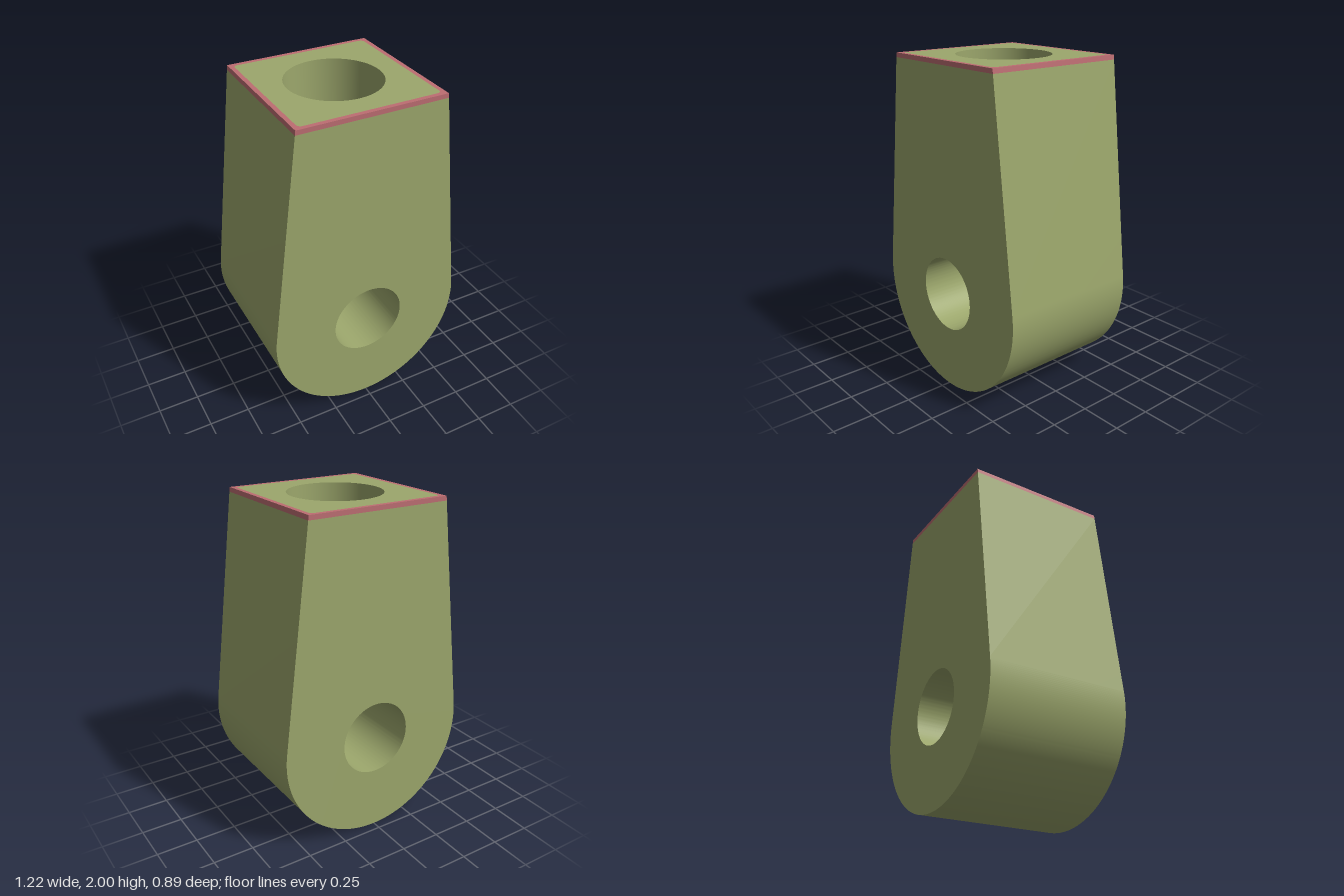
import * as THREE from 'three';
import { toCreasedNormals } from 'three/addons/utils/BufferGeometryUtils.js';

const R = 0.61;          // rounded foot radius, also the height of its centre
const PIN = 0.225;       // cross hole radius
const TOP = 2, HALF = 0.445, DEPTH = 0.89;
const EDGE = 0.027;      // width of the coloured edging
const BORE = 0.28;

// Angle at which each flank leaves the rounded foot as a tangent
const tangent = Math.atan2(TOP - R, HALF) - Math.acos(R / Math.hypot(HALF, TOP - R));
const foot = [R * Math.cos(tangent), R + R * Math.sin(tangent)];
const halfAt = y => HALF + (foot[0] - HALF) * (TOP - y) / (TOP - foot[1]);

// Extrude front to back, leaving out the horizontal end faces at the given heights
function extrudeOpen(shape, openHeights) {
  const solid = new THREE.ExtrudeGeometry(shape, { depth: DEPTH, bevelEnabled: false, curveSegments: 96 });
  solid.translate(0, 0, -DEPTH / 2);
  const p = solid.attributes.position, kept = [];
  for (let i = 0; i < p.count; i += 3) {
    const isOpen = openHeights.some(h => [0, 1, 2].every(k => Math.abs(p.getY(i + k) - h) < 1e-4));
    if (!isOpen) for (let k = 0; k < 3; k++) kept.push(p.getX(i + k), p.getY(i + k), p.getZ(i + k));
  }
  const geometry = new THREE.BufferGeometry();
  geometry.setAttribute('position', new THREE.Float32BufferAttribute(kept, 3));
  return toCreasedNormals(geometry, Math.PI / 6);
}

// Rounded square outline for the top panel
function roundedSquare(path, h, r) {
  path.moveTo(h, -h + r);
  path.absarc(h - r, h - r, r, 0, Math.PI / 2);
  path.absarc(-h + r, h - r, r, Math.PI / 2, Math.PI);
  path.absarc(-h + r, -h + r, r, Math.PI, Math.PI * 1.5);
  path.absarc(h - r, -h + r, r, Math.PI * 1.5, Math.PI * 2);
  return path;
}

const flatTop = shape => new THREE.ShapeGeometry(shape, 48).rotateX(-Math.PI / 2).translate(0, TOP, 0);

export function createModel() {
  const group = new THREE.Group();
  const olive = new THREE.MeshStandardMaterial({ color: 0x9ca76c });
  olive.name = 'olive';
  const rose = new THREE.MeshStandardMaterial({ color: 0xbd6d72 });
  rose.name = 'rose';
  const add = (name, geometry, material) => {
    const mesh = new THREE.Mesh(geometry, material);
    mesh.name = name;
    group.add(mesh);
  };

  // Tapered body with rounded foot and cross hole
  const bandY = TOP - EDGE, bandX = halfAt(bandY);
  const outline = new THREE.Shape();
  outline.moveTo(bandX, bandY);
  outline.lineTo(-bandX, bandY);
  outline.lineTo(-foot[0], foot[1]);
  outline.absarc(0, R, R, Math.PI - tangent, Math.PI * 2 + tangent);
  outline.holes.push(new THREE.Path().absarc(0, R, PIN, 0, Math.PI * 2, true));
  add('body', extrudeOpen(outline, [bandY]), olive);

  // Coloured edging around the sides
  const band = new THREE.Shape([[bandX, bandY], [HALF, TOP], [-HALF, TOP], [-bandX, bandY]]
    .map(([x, y]) => new THREE.Vector2(x, y)));
  add('sideEdging', extrudeOpen(band, [bandY, TOP]), rose);

  // Coloured frame on the top face
  const frame = new THREE.Shape([[1, -1], [1, 1], [-1, 1], [-1, -1]]
    .map(([x, y]) => new THREE.Vector2(x * HALF, y * HALF)));
  frame.holes.push(roundedSquare(new THREE.Path(), HALF - EDGE, 0.025));
  add('topEdging', flatTop(frame), rose);

  // Top panel around the bore
  const panel = roundedSquare(new THREE.Shape(), HALF - EDGE, 0.025);
  panel.holes.push(new THREE.Path().absarc(0, 0, BORE, 0, Math.PI * 2, true));
  add('topPanel', flatTop(panel), olive);

  // Stepped blind bore, running downward so that it faces inward
  const profile = [[BORE, TOP], [BORE, 1.12], [0.245, 1.12], [0.245, 1], [0, 1]]
    .map(([x, y]) => new THREE.Vector2(x, y));
  add('bore', toCreasedNormals(new THREE.LatheGeometry(profile, 96), Math.PI / 6), olive);

  return group;
}
